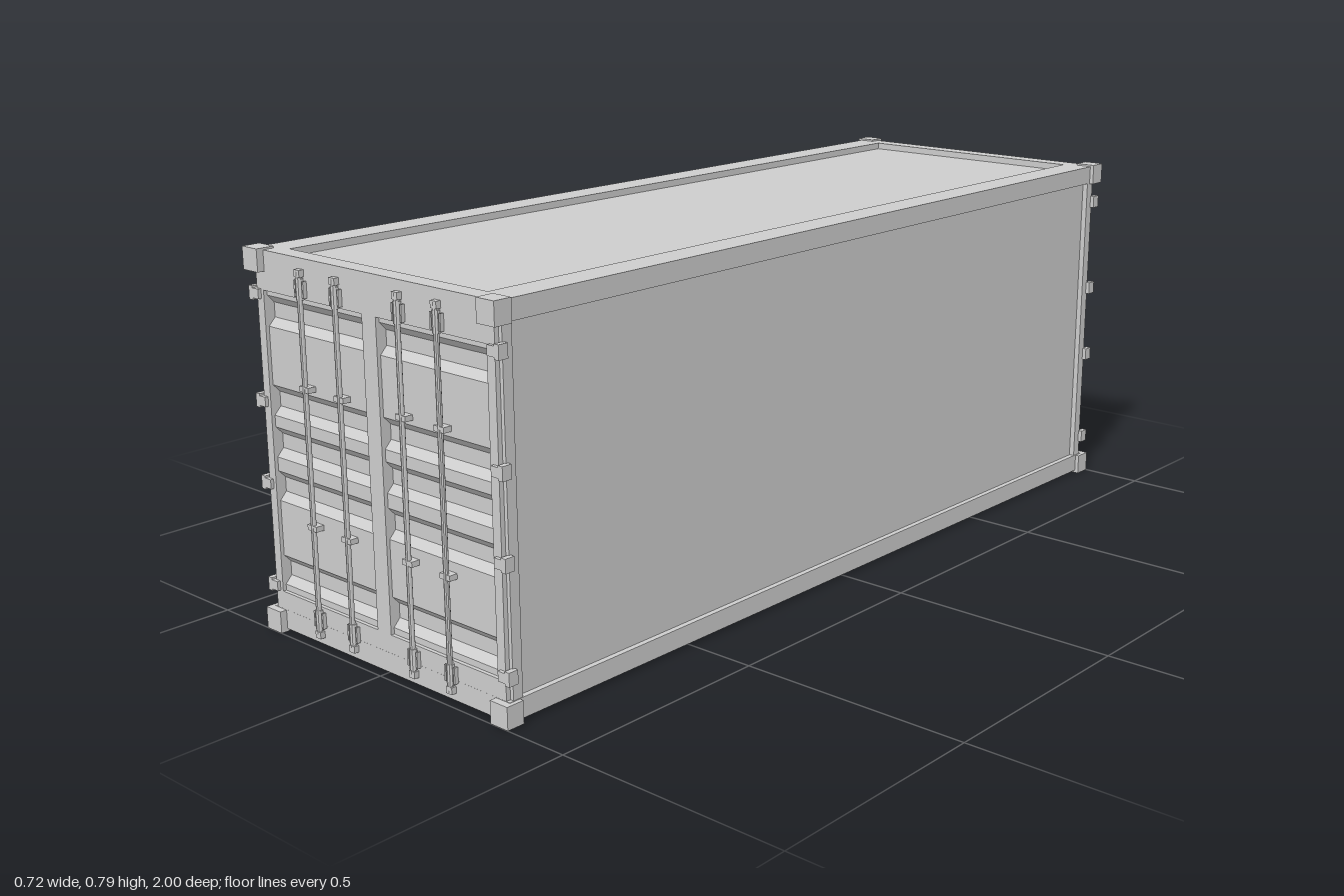
import * as THREE from 'three';

export function createModel() {
  const model = new THREE.Group();
  model.name = 'shippingContainer';
  const paint = new THREE.MeshStandardMaterial({ color: 0xcccccc, flatShading: true });
  paint.name = 'grey paint';

  const add = (parent, name, geometry, x = 0, y = 0, z = 0) => {
    const mesh = new THREE.Mesh(geometry, paint);
    mesh.name = name;
    mesh.position.set(x, y, z);
    parent.add(mesh);
    return mesh;
  };
  const box = (parent, name, w, h, d, x, y, z) =>
    add(parent, name, new THREE.BoxGeometry(w, h, d), x, y, z);
  const corners = (x0, y0, x1, y1) => [[x0, y0], [x1, y0], [x1, y1], [x0, y1]]
    .map(([x, y]) => new THREE.Vector2(x, y));
  // Flat plate with rectangular openings, extruded along z
  const plate = (outer, holes, depth) => {
    const shape = new THREE.Shape(corners(...outer));
    for (const h of holes) shape.holes.push(new THREE.Path(corners(...h)));
    return new THREE.ExtrudeGeometry(shape, { depth, bevelEnabled: false });
  };

  // Inner body: recessed side walls, roof and floor
  box(model, 'body', 0.676, 0.75, 1.9, 0, 0.396, 0);

  // Rail frames around the roof and the floor
  for (const [name, y] of [['roofFrame', 0.745], ['floorFrame', 0.006]]) {
    const ring = plate([-0.35, -0.985, 0.35, 0.985], [[-0.283, -0.945, 0.283, 0.945]], 0.041);
    ring.rotateX(-Math.PI / 2);
    add(model, name, ring, 0, y, 0);
  }

  // Corner castings
  for (const x of [-0.336, 0.336])
    for (const y of [0.023, 0.767])
      for (const z of [-0.98, 0.98])
        box(model, 'cornerCasting', 0.046, 0.046, 0.04, x, y, z);

  // Door skin profile: five trapezoid grooves from bottom to top
  const skin = new THREE.Shape();
  const outerZ = 0.977, innerZ = 0.962;
  skin.moveTo(0.945, 0.08);
  skin.lineTo(outerZ, 0.08);
  for (const y of [0.098, 0.276, 0.367, 0.453, 0.633]) {
    skin.lineTo(outerZ, y);
    skin.lineTo(innerZ, y + 0.016);
    skin.lineTo(innerZ, y + 0.046);
    skin.lineTo(outerZ, y + 0.062);
  }
  skin.lineTo(outerZ, 0.71);
  skin.lineTo(0.945, 0.71);
  const skinGeometry = new THREE.ExtrudeGeometry(skin, { depth: 0.304, bevelEnabled: false });
  skinGeometry.rotateY(-Math.PI / 2); // profile x becomes z, depth runs to -x

  // Hinge leaf, narrower toward the door
  const hinge = new THREE.Shape([
    [-0.03, -0.010], [-0.012, -0.010], [-0.012, -0.014], [0, -0.014],
    [0, 0.014], [-0.012, 0.014], [-0.012, 0.010], [-0.03, 0.010],
  ].map(([x, y]) => new THREE.Vector2(x, y)));
  const hingeGeometry = new THREE.ExtrudeGeometry(hinge, { depth: 0.022, bevelEnabled: false });

  const rodGeometry = new THREE.CylinderGeometry(0.0055, 0.0055, 0.74, 10);
  const camGeometry = new THREE.CylinderGeometry(0.008, 0.008, 0.042, 10);

  const buildEnd = (name) => {
    const end = new THREE.Group();
    end.name = name;
    const openings = [[-0.32, 0.085, -0.02, 0.706], [0.02, 0.085, 0.32, 0.706]];
    // Corner posts and door frame, stepped at the outer edge
    add(end, 'cornerPosts', plate([-0.349, 0.046, 0.349, 0.746], openings, 0.023), 0, 0, 0.952);
    add(end, 'doorFrame', plate([-0.341, 0.046, 0.341, 0.746], openings, 0.0098), 0, 0, 0.975);
    for (const x of [-0.018, 0.322]) add(end, 'doorSkin', skinGeometry, x, 0, 0);

    // Hinges
    for (const y of [0.095, 0.311, 0.481, 0.698]) {
      add(end, 'hinge', hingeGeometry, 0.358, y, 0.97);
      add(end, 'hinge', hingeGeometry, -0.358, y, 0.992).rotation.y = Math.PI;
    }

    // Locking rods with cams, keepers and guides
    for (const x of [-0.196, -0.09, 0.09, 0.196]) {
      add(end, 'lockingRod', rodGeometry, x, 0.393, 0.991);
      for (const s of [-1, 1]) {
        add(end, 'rodCam', camGeometry, x, 0.393 + s * 0.334, 0.99);
        box(end, 'rodTip', 0.016, 0.014, 0.012, x, 0.393 + s * 0.365, 0.99);
        for (const side of [-1, 1])
          box(end, 'keeper', 0.004, 0.033, 0.01, x + side * 0.0125, 0.393 + s * 0.334, 0.988);
        box(end, 'rodGuide', 0.028, 0.011, 0.02, x, 0.391 + s * 0.14, 0.985);
      }
    }
    model.add(end);
    return end;
  };
  buildEnd('frontDoors');
  buildEnd('backDoors').rotation.y = Math.PI;

  return model;
}
